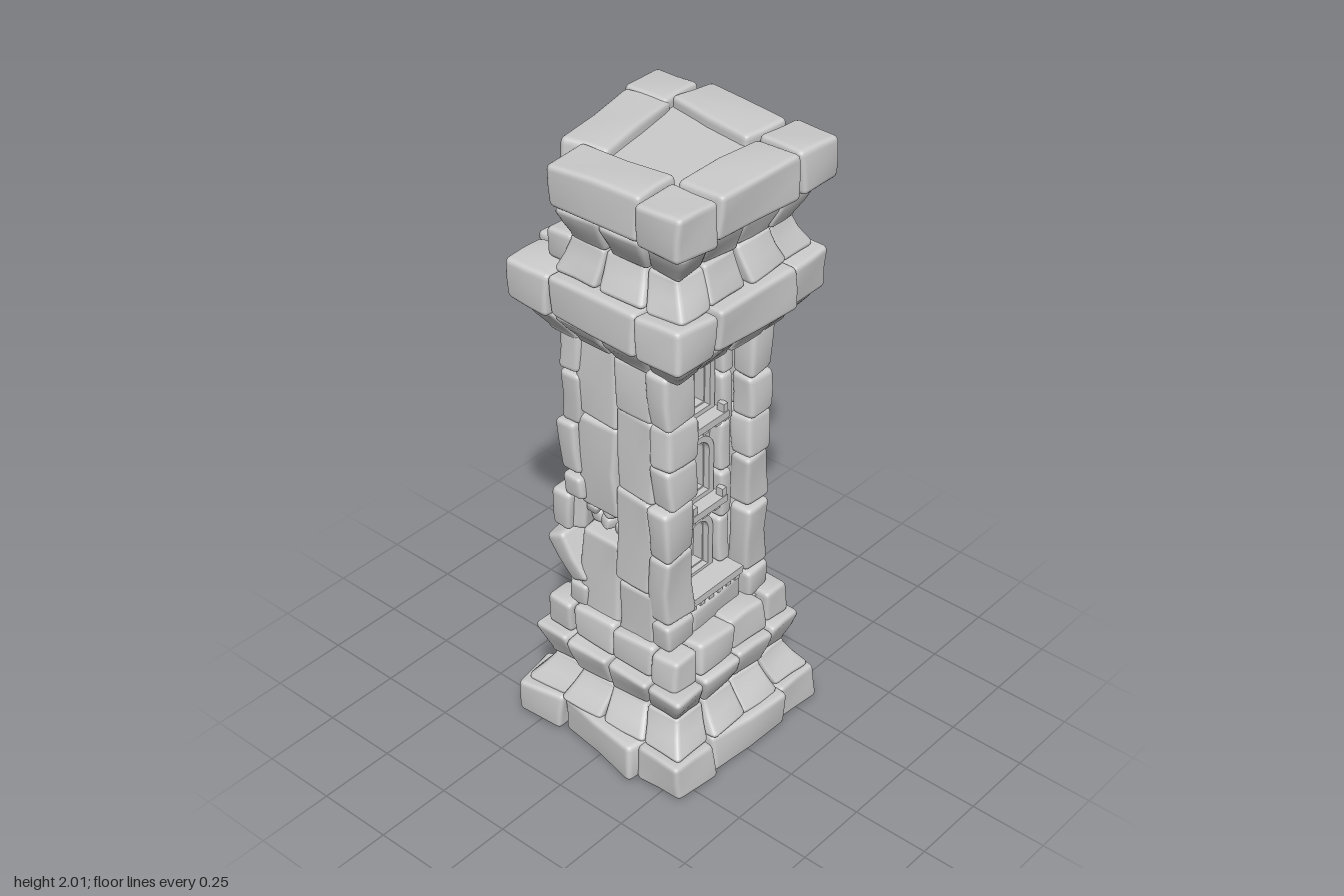
import * as THREE from 'three';
import { mergeVertices } from 'three/addons/utils/BufferGeometryUtils.js';

const grey = new THREE.MeshStandardMaterial({ color: 0xcccccc, side: THREE.DoubleSide });
let seed = 7;
const rand = (a = 1) => {
  seed = (seed * 16807) % 2147483647;
  return a * (2 * seed / 2147483647 - 1);
};

function addMesh(parent, name, geometry) {
  const mesh = new THREE.Mesh(geometry, grey);
  mesh.name = name;
  parent.add(mesh);
  return mesh;
}

function box(parent, name, [w, h, d], [x, y, z]) {
  return addMesh(parent, name, new THREE.BoxGeometry(w, h, d).translate(x, y, z));
}

// Worn block: rounded box, gently warped; flare(y) scales it about the tower axis
function stone(parent, name, size, pos, { rot = [0, 0, 0], flare = null, wobble = 0.006 } = {}) {
  const g = new THREE.BoxGeometry(1, 1, 1, 6, 6, 6);
  g.deleteAttribute('uv');
  g.deleteAttribute('normal');
  const r = Math.min(0.018, 0.3 * Math.min(...size));
  const P = g.attributes.position, v = new THREE.Vector3(), c = new THREE.Vector3();
  const phase = [rand(3), rand(3), rand(3)];
  const corner = [rand(0.08), rand(0.08)];
  const grid = (u, h) => {
    const i = Math.round((u + 0.5) * 6);
    return [-h, -h + 0.4 * r, -h + r, 0, h - r, h - 0.4 * r, h][i];
  };
  for (let i = 0; i < P.count; i++) {
    v.fromBufferAttribute(P, i);
    const h = size.map(s => s / 2);
    v.set(grid(v.x, h[0]), grid(v.y, h[1]), grid(v.z, h[2]));
    c.set(...['x', 'y', 'z'].map((k, n) => THREE.MathUtils.clamp(v[k], -h[n] + r, h[n] - r)));
    v.sub(c).normalize().multiplyScalar(r).add(c);
    const { x, y, z } = v;
    v.x += wobble * Math.sin(17 * y + 13 * z + phase[0]) + corner[0] * y * z * 2;
    v.y += 0.6 * wobble * Math.sin(15 * x + 19 * z + phase[1]);
    v.z += wobble * Math.sin(17 * y + 13 * x + phase[2]) + corner[1] * y * x * 2;
    P.setXYZ(i, v.x, v.y, v.z);
  }
  g.applyMatrix4(new THREE.Matrix4().makeRotationFromEuler(new THREE.Euler(...rot)));
  g.translate(...pos);
  if (flare) {
    for (let i = 0; i < P.count; i++) {
      const k = flare(P.getY(i));
      P.setX(i, P.getX(i) * k);
      P.setZ(i, P.getZ(i) * k);
    }
  }
  const m = mergeVertices(g, 1e-5);
  m.computeVertexNormals();
  return addMesh(parent, name, m);
}

// Square ring of stones. low/high: half widths at bottom and top;
// moved: 'ij' -> [dx, dz, rotY], or null for a missing stone
function course(parent, name, y0, y1, low, high, mids, moved = {}) {
  const ring = new THREE.Group();
  ring.name = name;
  parent.add(ring);
  const H = Math.max(low, high), inner = 0.16;
  const edges = mids === 1 ? [-H, -inner, inner, H] : [-H, -inner, 0, inner, H];
  const n = edges.length - 1;
  const flare = low === high ? null : y => {
    const s = THREE.MathUtils.smoothstep((y - y0) / (y1 - y0), 0.05, 0.85);
    return (low + (high - low) * s) / H;
  };
  for (let i = 0; i < n; i++) for (let j = 0; j < n; j++) {
    if (i > 0 && i < n - 1 && j > 0 && j < n - 1) continue;
    const move = moved[`${i}${j}`];
    if (move === null) continue;
    const [dx, dz, ry] = move || [rand(0.006), rand(0.006), rand(0.025)];
    stone(ring, 'courseStone',
      [edges[i + 1] - edges[i], y1 - y0 + 0.005, edges[j + 1] - edges[j]],
      [(edges[i] + edges[i + 1]) / 2 + dx, (y0 + y1) / 2, (edges[j] + edges[j + 1]) / 2 + dz],
      { rot: [0, ry, rand(0.015)], flare });
  }
  return ring;
}

function archPath(path, w, y0, h) {
  path.moveTo(-w / 2, y0);
  path.lineTo(w / 2, y0);
  path.lineTo(w / 2, y0 + h - w / 2);
  path.absarc(0, y0 + h - w / 2, w / 2, 0, Math.PI, false);
  path.lineTo(-w / 2, y0);
  return path;
}

// Extrude a shape drawn in (z, y) so that it faces +x and starts at x
function facingX(shape, depth, x) {
  return new THREE.ExtrudeGeometry(shape, { depth, bevelEnabled: false, curveSegments: 10 })
    .rotateY(Math.PI / 2).translate(x, 0, 0);
}

// Recessed bay with three arched niches, facing +x
function windowBay() {
  const bay = new THREE.Group();
  bay.name = 'windowBay';
  const wall = new THREE.Shape([[-0.14, 0.44], [0.14, 0.44], [0.14, 1.44], [-0.14, 1.44]]
    .map(p => new THREE.Vector2(...p)));
  const niches = [[0.58, 0.21], [0.855, 0.22], [1.155, 0.23]];
  for (const [y, h] of niches) wall.holes.push(archPath(new THREE.Path(), 0.08, y + 0.02, h - 0.045));
  addMesh(bay, 'nicheWall', facingX(wall, 0.04, 0.06));
  niches.forEach(([y, h], i) => {
    const frame = archPath(new THREE.Shape(), 0.13, y, h);
    frame.holes.push(archPath(new THREE.Path(), 0.088, y + 0.015, h - 0.035));
    addMesh(bay, 'archFrame', facingX(frame, 0.025, 0.095));
    if (i === 0) return;
    box(bay, 'windowSill', [0.08, 0.024, 0.155], [0.125, y - 0.012, 0]);
    for (const z of [-0.055, 0, 0.055]) box(bay, 'sillBracket', [0.05, 0.03, 0.024], [0.12, y - 0.038, z]);
    for (const z of [-0.065, 0.065]) box(bay, 'sillPost', [0.025, 0.03, 0.018], [0.15, y + 0.012, z]);
  });
  // Lowest sill with a row of dentils, over a plain block
  box(bay, 'bottomSill', [0.1, 0.025, 0.23], [0.15, 0.572, 0]);
  for (let i = 0; i < 6; i++) box(bay, 'dentil', [0.08, 0.025, 0.02], [0.15, 0.548, -0.1 + i * 0.04]);
  stone(bay, 'sillBlock', [0.1, 0.1, 0.24], [0.14, 0.49, 0]);
  // Slim jamb stones either side
  for (const s of [-1, 1]) for (let i = 0; i < 5; i++) {
    stone(bay, 'jambStone', [0.07, 0.168, 0.05], [0.11, 0.67 + i * 0.17, s * 0.096], { wobble: 0.004 });
  }
  return bay;
}

// A vertical stack of stones between successive heights
function stack(parent, name, heights, w, d, x, z, special = {}) {
  for (let i = 0; i < heights.length - 1; i++) {
    const s = special[i];
    if (s === null) continue;
    const [dx, dz, rx, rz] = s || [rand(0.005), rand(0.006), rand(0.01), rand(0.008)];
    stone(parent, name, [w, heights[i + 1] - heights[i], d],
      [x + dx, (heights[i] + heights[i + 1]) / 2, z + dz], { rot: [rx, rand(0.03), rz] });
  }
}

export function createModel() {
  seed = 7;
  const tower = new THREE.Group();
  tower.name = 'stoneTower';

  // Inner fill
  box(tower, 'footCore', [0.42, 0.43, 0.42], [0, 0.23, 0]);
  box(tower, 'shaftCore', [0.13, 1, 0.32], [0, 0.93, 0]);
  box(tower, 'headCore', [0.38, 0.33, 0.38], [0, 1.585, 0]);
  box(tower, 'topFill', [0.36, 0.22, 0.35], [0.04, 1.855, -0.035]);
  box(tower, 'topFillBack', [0.1, 0.22, 0.2], [-0.15, 1.855, -0.11]);

  // Foot
  course(tower, 'plinth', 0.004, 0.13, 0.333, 0.333, 1, {
    '12': [0.005, 0, -0.15], '10': [0.005, -0.005, 0.12], '01': [-0.014, -0.008, 0.02],
    '21': [0.002, -0.008, -0.1], '00': [-0.004, -0.008, -0.28], '02': [-0.004, -0.002, 0.1],
  });
  course(tower, 'footLowerMoulding', 0.13, 0.24, 0.312, 0.26, 2);
  course(tower, 'footUpperMoulding', 0.24, 0.35, 0.26, 0.294, 2);
  course(tower, 'footCap', 0.35, 0.46, 0.26, 0.26, 2);

  // Shaft: tall slabs front and back, quoins at the four corners
  const shaft = new THREE.Group();
  shaft.name = 'shaft';
  tower.add(shaft);
  stack(shaft, 'frontSlab', [0.45, 0.75, 0.84, 1.16, 1.43], 0.152, 0.09, -0.077, 0.18, { 1: null });
  stack(shaft, 'frontSlab', [0.36, 0.64, 0.97, 1.25, 1.43], 0.142, 0.1, 0.071, 0.188);
  stack(shaft, 'backSlab', [0.45, 0.62, 0.92, 1.24, 1.43], 0.152, 0.09, -0.077, -0.18,
    { 2: [-0.01, -0.035, -0.16, 0.05], 3: [0, -0.02, 0.05, 0] });
  stack(shaft, 'backSlab', [0.45, 0.54, 0.83, 1.12, 1.43], 0.142, 0.09, 0.071, -0.18,
    { 1: [0, -0.035, -0.17, -0.03] });
  const rightBreaks = [0.45, 0.55, 0.79, 0.97, 1.11, 1.25, 1.43];
  const leftBreaks = [0.45, 0.54, 0.72, 0.86, 0.94, 1.12, 1.3, 1.43];
  stack(shaft, 'frontQuoin', rightBreaks, 0.08, 0.125, 0.167, 0.177);
  stack(shaft, 'backQuoin', rightBreaks, 0.08, 0.1, 0.167, -0.175);
  stack(shaft, 'frontQuoin', leftBreaks, 0.075, 0.125, -0.17, 0.177,
    { 1: [-0.025, 0.005, 0.1, 0.42], 2: [-0.045, 0, 0, 0.03], 4: [-0.012, 0, 0, 0] });
  stack(shaft, 'backQuoin', leftBreaks, 0.075, 0.1, -0.17, -0.175, { 5: [-0.02, 0, 0, 0.12] });

  // Rubble in the gap of the front face, and a pushed-out stone on the side
  for (let i = 0; i < 6; i++) {
    stone(shaft, 'rubble', [0.045, 0.045, 0.05],
      [-0.125 + (i % 3) * 0.05, 0.775 + Math.floor(i / 3) * 0.042, 0.17 + rand(0.015)],
      { rot: [rand(0.4), rand(0.4), rand(0.4)] });
  }
  stone(shaft, 'looseStone', [0.11, 0.13, 0.12], [-0.205, 0.79, 0.17], { rot: [0, 0.25, 0.03] });

  // Niches on both sides
  const bay = windowBay();
  const opposite = bay.clone();
  opposite.rotation.y = Math.PI;
  tower.add(bay, opposite);

  // Head; the front left corner has broken away above the cornice
  course(tower, 'neckMoulding', 1.42, 1.52, 0.24, 0.29, 2);
  course(tower, 'cornice', 1.52, 1.65, 0.318, 0.318, 1, {
    '12': [0, 0, -0.03], '10': [0, -0.004, 0.02], '01': [-0.03, -0.008, 0], '21': [0.006, -0.005, -0.04],
  });
  const lower = course(tower, 'headLowerMoulding', 1.65, 1.76, 0.288, 0.25, 2, { '03': null });
  stone(lower, 'brokenCorner', [0.1, 0.1, 0.1], [-0.19, 1.7, 0.19]);
  course(tower, 'headUpperMoulding', 1.76, 1.865, 0.25, 0.287, 2, { '03': null });
  const parapet = course(tower, 'parapet', 1.865, 1.995, 0.318, 0.318, 1, {
    '10': [0, -0.012, -0.2], '21': [0.005, -0.005, -0.06],
    '12': [0, -0.012, 0.01], '20': [0.008, -0.01, 0], '01': null, '02': null,
  });
  stone(parapet, 'shiftedStone', [0.15, 0.13, 0.35], [-0.19, 1.93, 0], { rot: [0, 0.24, 0] });
  return tower;
}
